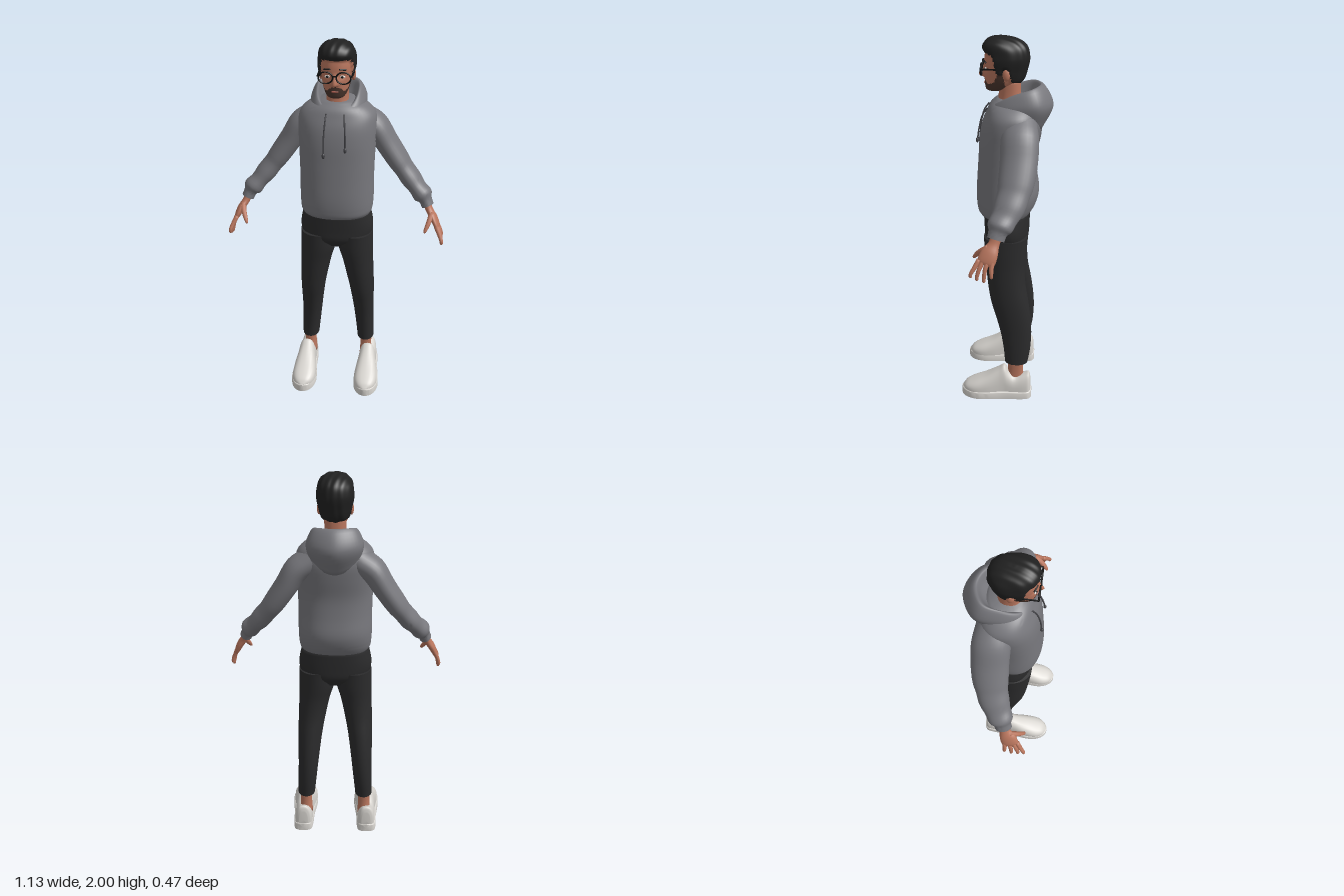
import * as THREE from 'three';
import { toCreasedNormals } from 'three/addons/utils/BufferGeometryUtils.js';

const mat = (name, color) => Object.assign(new THREE.MeshStandardMaterial({ color }), { name });
const V = (x, y, z) => new THREE.Vector3(x, y, z);
const spow = (v, p) => Math.sign(v) * Math.abs(v) ** p;
const smooth = THREE.MathUtils.smoothstep;

// Skin smoothly over a list of closed rings; capped and always facing outward
function loft(rings, sub = 4) {
  const n = rings[0].length, rows = (rings.length - 1) * sub + 1, pos = [], idx = [];
  const curves = rings[0].map((_, j) => new THREE.CatmullRomCurve3(rings.map(r => r[j])));
  for (let i = 0; i < rows; i++) for (const c of curves) pos.push(...c.getPoint(i / (rows - 1)).toArray());
  for (let i = 0; i < rows - 1; i++) for (let j = 0; j < n; j++) {
    const a = i * n + j, b = i * n + (j + 1) % n;
    idx.push(a, b, b + n, a, b + n, a + n);
  }
  for (const end of [0, rows - 1]) {
    const c = V(0, 0, 0), k = pos.length / 3;
    for (let j = 0; j < n; j++) c.add(V(...pos.slice((end * n + j) * 3, (end * n + j) * 3 + 3)));
    pos.push(...c.divideScalar(n).toArray());
    for (let j = 0; j < n; j++) {
      const a = end * n + j, b = end * n + (j + 1) % n;
      idx.push(...(end ? [a, b, k] : [b, a, k]));
    }
  }
  let volume = 0;
  const p = i => V(pos[i * 3], pos[i * 3 + 1], pos[i * 3 + 2]);
  for (let i = 0; i < idx.length; i += 3) volume += p(idx[i]).dot(p(idx[i + 1]).cross(p(idx[i + 2])));
  if (volume < 0) idx.reverse();
  const g = new THREE.BufferGeometry();
  g.setAttribute('position', new THREE.Float32BufferAttribute(pos, 3));
  g.setIndex(idx);
  g.computeVertexNormals();
  return g;
}

// Horizontal ring from half width, front and back depth
function ring([y, rx, zf, zb, cx = 0], n = 40, e = 2.3) {
  return Array.from({ length: n }, (_, j) => {
    const a = j / n * Math.PI * 2;
    return V(cx + rx * spow(Math.sin(a), 2 / e), y, (zf + zb) / 2 + (zf - zb) / 2 * spow(Math.cos(a), 2 / e));
  });
}

// Oval limb along points [x, y, z, thickness, depth]; s mirrors it in x
function limb(pts, s = 1, n = 20, sub = 4) {
  const c = pts.map(p => V(p[0] * s, p[1], p[2]));
  return loft(c.map((p, i) => {
    const t = c[Math.min(i + 1, c.length - 1)].clone().sub(c[Math.max(i - 1, 0)]).normalize();
    const u = t.clone().cross(V(0, 0, 1)).normalize(), w = t.clone().cross(u);
    return Array.from({ length: n }, (_, j) => {
      const a = j / n * Math.PI * 2;
      return p.clone().addScaledVector(u, pts[i][3] * Math.cos(a)).addScaledVector(w, pts[i][4] * Math.sin(a));
    });
  }), sub);
}

// Shoe form from upright arches [z, half width, top]; a low power makes it boxy
function arches(rows, cx, base, power) {
  return loft(rows.map(([z, w, top]) => Array.from({ length: 28 }, (_, j) => {
    const a = j / 28 * Math.PI * 2, c = spow(Math.cos(a), power);
    return V(cx + w * c, base + Math.max(0, spow(Math.sin(a), power)) * (top - base), z);
  })));
}

// Piecewise linear lookup
function lookup(table, x) {
  const i = Math.max(1, table.findIndex(t => t[0] >= x));
  const [a, b] = [table[i - 1], table[i]];
  return a[1] + (b[1] - a[1]) * THREE.MathUtils.clamp((x - a[0]) / (b[0] - a[0]), 0, 1);
}

export function createModel() {
  const M = {
    hoodie: mat('grey hoodie', 0x77777c), pants: mat('black trousers', 0x2b2b2c), skin: mat('skin', 0xb9765e),
    hair: mat('black hair', 0x212121), beard: mat('brown beard', 0x4a352d), shoe: mat('off-white shoes', 0xd6d3ce),
    cord: mat('dark cord', 0x444448), frame: mat('black frame', 0x121212), eye: mat('eye white', 0xd9d2cc),
    lip: mat('lips', 0xa0594c),
  };
  const model = new THREE.Group();
  const add = (name, geo, material, at = [0, 0, 0], scale = [1, 1, 1]) => {
    const m = new THREE.Mesh(geo, material);
    m.name = name;
    m.position.set(...at);
    m.scale.set(...scale);
    model.add(m);
    return m;
  };
  const crisp = g => toCreasedNormals(g, 0.9);
  const ball = new THREE.SphereGeometry(1, 20, 14);

  // Hoodie body with a gathered hem
  add('hoodieBody', crisp(loft([
    [1.09, .178, .137, -.13], [1.105, .186, .147, -.14], [1.14, .191, .153, -.158], [1.2, .193, .155, -.172],
    [1.3, .192, .149, -.16], [1.4, .194, .142, -.155], [1.5, .198, .135, -.17], [1.58, .2, .12, -.178],
    [1.63, .19, .1, -.168], [1.67, .15, .08, -.145], [1.7, .085, .045, -.11],
  ].map(r => ring(r, 48)))), M.hoodie);

  // Hood: profiles [radius, height] from outer base over the rim to the neck, front to back
  const hoodKeys = [
    [[.135, 1.58], [.14, 1.625], [.122, 1.655], [.1, 1.64], [.08, 1.6]],
    [[.14, 1.6], [.138, 1.655], [.112, 1.692], [.09, 1.67], [.075, 1.62]],
    [[.145, 1.63], [.135, 1.69], [.105, 1.737], [.088, 1.705], [.07, 1.64]],
    [[.15, 1.58], [.182, 1.68], [.13, 1.765], [.1, 1.71], [.07, 1.65]],
    [[.14, 1.54], [.196, 1.67], [.135, 1.77], [.105, 1.72], [.06, 1.655]],
  ];
  const hoodRings = hoodKeys[0].map((_, j) => new THREE.CatmullRomCurve3(
    Array.from({ length: 8 }, (_, k) => {
      const [r, y] = hoodKeys[k <= 4 ? k : 8 - k][j], a = k * Math.PI / 4;
      return V(r * Math.sin(a), y, -.04 + r * Math.cos(a));
    }), true).getPoints(56).slice(0, 56));
  add('hood', loft(hoodRings, 6), M.hoodie);

  // Trousers
  add('hips', loft([[.89, .09, .07, -.08], [.94, .175, .11, -.118], [1, .194, .115, -.124], [1.1, .178, .12, -.126]]
    .map(r => ring(r))), M.pants);
  // Neck
  add('neck', loft([[1.58, .085, .07, -.1], [1.65, .066, .055, -.085], [1.7, .056, .04, -.074], [1.8, .056, .04, -.07]]
    .map(r => ring(r))), M.skin);

  for (const s of [1, -1]) {
    const side = s > 0 ? 'left' : 'right';
    add(side + 'Sleeve', crisp(limb([
      [.11, 1.59, -.075, .07, .085], [.19, 1.54, -.08, .067, .094], [.25, 1.45, -.08, .06, .093],
      [.315, 1.355, -.07, .056, .088], [.345, 1.315, -.06, .051, .08], [.385, 1.265, -.043, .052, .077],
      [.42, 1.225, -.022, .045, .066], [.452, 1.19, -.002, .05, .062], [.464, 1.17, .005, .035, .047],
      [.478, 1.14, .014, .032, .043]], s, 28)), M.hoodie);

    // Hand
    add(side + 'Palm', limb([[.47, 1.16, .008, .022, .028], [.488, 1.12, .022, .019, .028],
      [.512, 1.085, .04, .019, .042], [.532, 1.045, .055, .015, .044], [.538, 1.03, .06, .008, .036]], s), M.skin);
    const fingers = [[.09, .128, .972], [.068, .098, .957], [.045, .064, .948], [.022, .028, .97]];
    fingers.forEach(([z0, z1, tip], i) => add(side + 'Finger' + (i + 1), limb([
      [.527, 1.055, z0, .012, .012], [.548, 1.015, (z0 + z1) / 2 + .004, .011, .011],
      [.558, tip + .018, z1, .009, .009], [.559, tip + .004, z1, .007, .007], [.559, tip, z1, .002, .002]], s, 10), M.skin));
    add(side + 'Thumb', limb([[.5, 1.11, .045, .014, .016], [.488, 1.08, .085, .013, .015],
      [.474, 1.05, .112, .01, .011], [.468, 1.036, .122, .006, .006], [.467, 1.033, .124, .002, .002]], s, 10), M.skin);

    // Trouser leg and ankle
    add(side + 'TrouserLeg', crisp(loft([
      [.215, .047, -.005, -.132, .162], [.3, .051, .003, -.145, .157], [.4, .055, .02, -.15, .15],
      [.5, .061, .046, -.144, .144], [.6, .068, .074, -.13, .137], [.7, .076, .09, -.113, .126],
      [.8, .085, .1, -.108, .113], [.88, .096, .108, -.114, .101], [.97, .096, .112, -.12, .098],
    ].map(([y, w, f, b, x]) => ring([y, w, f, b, x * s], 32, 2.1)))), M.pants);
    add(side + 'Ankle', loft([[.08, .036, -.01, -.115], [.16, .032, -.022, -.108], [.24, .034, -.02, -.11]]
      .map(r => ring([...r, .165 * s], 24))), M.skin);

    // Shoe: sole, upper and heel collar
    add(side + 'Sole', crisp(arches([[-.156, .022, .045], [-.142, .045, .045], [-.1, .054, .045], [0, .058, .045],
      [.08, .068, .045], [.15, .07, .045], [.2, .055, .045], [.228, .032, .045], [.239, .008, .045]], .181 * s, 0, .2)), M.shoe);
    add(side + 'ShoeUpper', arches([[-.15, .024, .12], [-.14, .042, .152], [-.115, .048, .145], [-.06, .05, .128],
      [-.025, .05, .16], [-.003, .05, .195], [.03, .054, .175], [.1, .065, .13], [.17, .064, .095],
      [.212, .044, .072], [.234, .012, .048]], .179 * s, .04, .75), M.shoe);

    // Drawstring with a bead
    const end = s > 0 ? 1.495 : 1.46;
    const cord = new THREE.CatmullRomCurve3([V(.045 * s, 1.655, .09), V(.048 * s, 1.62, .115), V(.053 * s, 1.55, .134), V(.054 * s, end, .142)]);
    add(side + 'Drawstring', new THREE.TubeGeometry(cord, 16, .004, 8), M.cord);
    add(side + 'DrawstringBead', ball, M.cord, [.054 * s, end - .008, .144], [.008, .014, .008]);

    // Ear, eye and eyebrow
    add(side + 'Ear', ball, M.skin, [.08 * s, 1.83, -.005], [.012, .03, .018]);
    add(side + 'Eye', ball, M.eye, [.036 * s, 1.848, .1], [.014, .007, .006]);
    add(side + 'Iris', ball, M.frame, [.036 * s, 1.848, .104], [.006, .006, .004]);
    const brow = add(side + 'Eyebrow', new THREE.CapsuleGeometry(.0045, .028, 4, 8), M.hair, [.038 * s, 1.884, .102]);
    brow.rotation.set(0, .3 * s, Math.PI / 2 - .1 * s);

    // Glasses: rim and temple
    add(side + 'Rim', new THREE.TorusGeometry(.033, .004, 8, 32), M.frame, [.043 * s, 1.848, .12], [1.05, .86, 1]);
    add(side + 'Temple', new THREE.BoxGeometry(.005, .008, .128), M.frame, [.082 * s, 1.856, .057]);
  }
  add('glassesBridge', new THREE.BoxGeometry(.018, .006, .006), M.frame, [0, 1.855, .123]);

  // Head, shaped by hairline, nose and eye sockets
  const head = loft([
    [1.733, .022, .084, .035], [1.742, .042, .1, .005], [1.765, .058, .106, -.045], [1.8, .069, .108, -.078],
    [1.85, .076, .11, -.094], [1.9, .079, .108, -.1], [1.94, .073, .098, -.092], [1.965, .055, .075, -.066],
    [1.978, .028, .045, -.03], [1.981, .004, .01, .002],
  ].map(r => ring(r, 88)), 9);
  const hairline = [[0, 1.922], [.75, 1.918], [.95, 1.9], [1.1, 1.825], [1.36, 1.825], [1.5, 1.855], [1.75, 1.85], [2, 1.79], [3.2, 1.772]];
  const beardline = [[0, 1.796], [.25, 1.79], [.45, 1.772], [.8, 1.782], [1.1, 1.83], [1.4, 1.83], [1.55, 1.77], [1.75, 1.73], [3.2, 1.7]];
  const pos = head.attributes.position, kind = [], center = V(0, 1.86, 0);
  for (let i = 0; i < pos.count; i++) {
    const p = V().fromBufferAttribute(pos, i), { x, y, z } = p;
    const a = Math.atan2(Math.abs(x), z - .005), line = lookup(hairline, a);
    kind[i] = y > line ? 'hair' : y < lookup(beardline, a) ? 'beard' : 'face';
    // Swept-up hair, thicker above the forehead
    const front = smooth(z, -.03, .09) * smooth(y, 1.91, 1.96);
    const thick = (.012 + .005 * smooth(y, 1.84, 1.9) + .012 * front + .0015 * Math.sin(x * 190 + z * 60)) * smooth(y, line - .004, line + .014);
    p.addScaledVector(p.clone().sub(center).normalize(), thick);
    if (z > .04) {
      const nose = smooth(y, 1.797, 1.812) * (1 - smooth(y, 1.812, 1.872));
      p.z += .029 * nose * Math.exp(-((x / .013) ** 2));
      p.z -= .007 * Math.exp(-(((Math.abs(x) - .036) / .017) ** 2) - ((y - 1.848) / .014) ** 2);
    }
    pos.setXYZ(i, p.x, p.y, p.z);
  }
  head.computeVertexNormals();
  const parts = { face: [], beard: [], hair: [] }, index = head.index.array;
  for (let i = 0; i < index.length; i += 3) parts[kind[index[i]]].push(index[i], index[i + 1], index[i + 2]);
  for (const [name, faces] of Object.entries(parts)) {
    const g = head.clone();
    g.setIndex(faces);
    add(name, g, M[name === 'face' ? 'skin' : name]);
  }
  add('mouth', ball, M.lip, [0, 1.774, .106], [.019, .005, .005]);

  return model;
}
